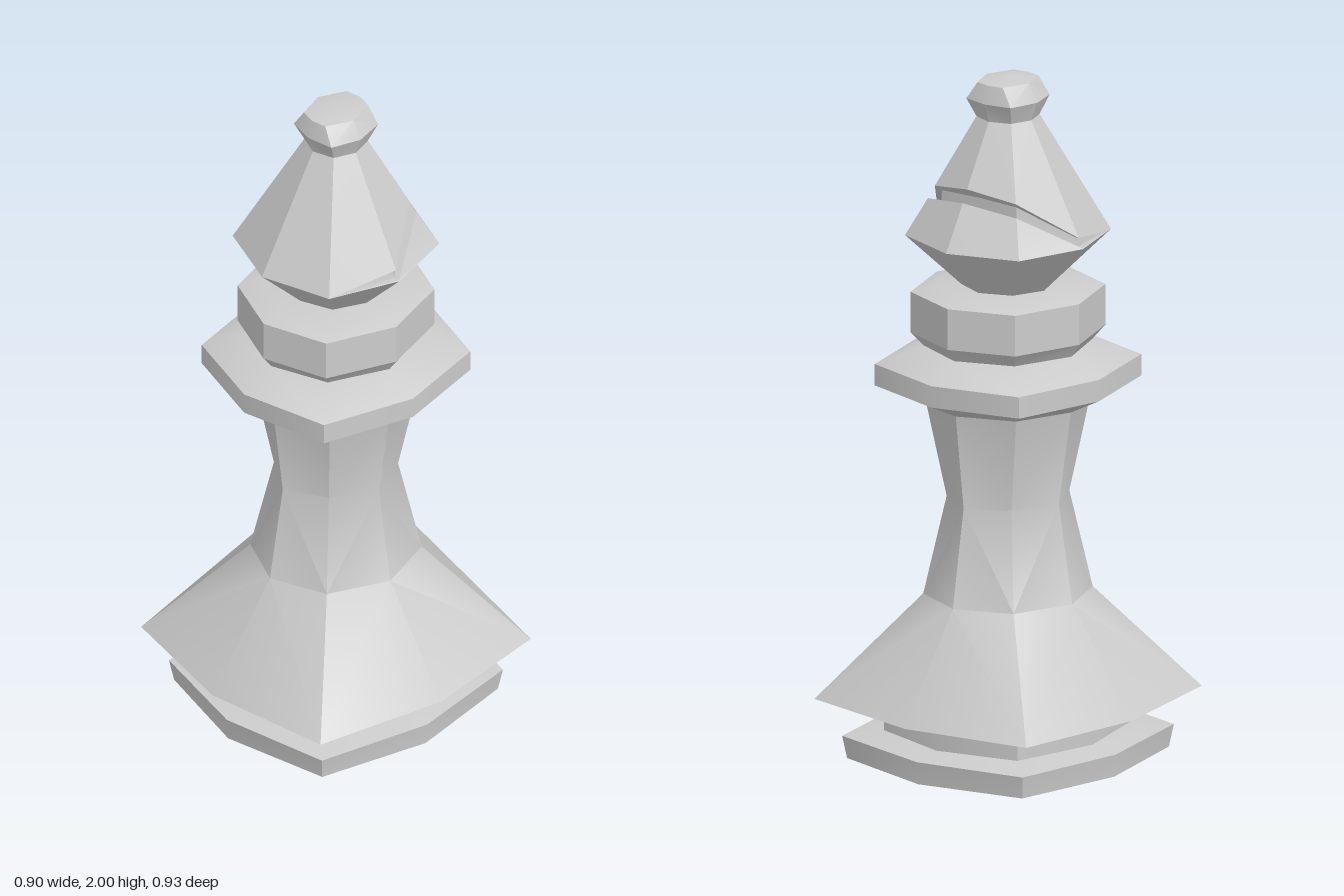
import * as THREE from 'three';
import { toCreasedNormals } from 'three/addons/utils/BufferGeometryUtils.js';

const material = new THREE.MeshStandardMaterial({ color: 0xcccccc });

// Eight-point section: side radius, front radius and the diagonal corner.
function ring(y, ax, az, cx, cz) {
  return [[ax, 0], [cx, cz], [0, az], [-cx, cz], [-ax, 0], [-cx, -cz], [0, -az], [cx, -cz]]
    .map(([x, z]) => new THREE.Vector3(x, y, z));
}

// Copy of a section with its side, back corner and back points moved.
function slotRing(from, side, corner, back) {
  const r = from.map((p) => p.clone());
  r[0].set(side[0], side[1], side[2]);
  r[4].set(-side[0], side[1], side[2]);
  r[7].set(corner[0], corner[1], corner[2]);
  r[5].set(-corner[0], corner[1], corner[2]);
  r[6].set(0, back[0], back[1]);
  return r;
}

// Skin sections from bottom to top and close both ends.
function loft(name, rings, topY) {
  const pos = [];
  const tri = (a, b, c) => {
    if (new THREE.Triangle(a, b, c).getArea() < 1e-7) return;
    for (const p of [a, b, c]) pos.push(p.x, p.y, p.z);
  };
  for (let i = 0; i < rings.length - 1; i++) {
    for (let k = 0; k < 8; k++) {
      const n = (k + 1) % 8;
      const a = rings[i][k], b = rings[i][n], c = rings[i + 1][n], d = rings[i + 1][k];
      // Alternating diagonals keep the halves mirrored.
      if (k % 2) { tri(a, d, c); tri(a, c, b); } else { tri(a, d, b); tri(d, c, b); }
    }
  }
  const first = rings[0], last = rings[rings.length - 1];
  const low = new THREE.Vector3(0, first[0].y, 0);
  const high = new THREE.Vector3(0, topY ?? last[0].y, 0);
  for (let k = 0; k < 8; k++) {
    const n = (k + 1) % 8;
    tri(low, first[k], first[n]);
    tri(high, last[n], last[k]);
  }
  const geometry = new THREE.BufferGeometry();
  geometry.setAttribute('position', new THREE.Float32BufferAttribute(pos, 3));
  const mesh = new THREE.Mesh(toCreasedNormals(geometry, 0.55), material);
  mesh.name = name;
  return mesh;
}

export function createModel() {
  const group = new THREE.Group();
  group.name = 'chessBishop';

  // Foot plate and recessed groove
  group.add(loft('base', [
    ring(0, 0.385, 0.405, 0.318, 0.33),
    ring(0.066, 0.39, 0.41, 0.328, 0.34),
    ring(0.08, 0.307, 0.323, 0.243, 0.258),
    ring(0.137, 0.307, 0.323, 0.243, 0.258),
  ]));

  // Flared skirt and waisted shaft
  group.add(loft('body', [
    ring(0.137, 0.307, 0.323, 0.243, 0.258),
    ring(0.177, 0.45, 0.465, 0.385, 0.395),
    ring(0.48, 0.233, 0.248, 0.164, 0.178),
    ring(0.765, 0.185, 0.2, 0.118, 0.13),
    ring(1.045, 0.228, 0.235, 0.164, 0.167),
  ]));

  // Wide collar
  group.add(loft('collar', [
    ring(1.045, 0.228, 0.235, 0.164, 0.167),
    ring(1.097, 0.33, 0.345, 0.262, 0.275),
    ring(1.16, 0.33, 0.345, 0.262, 0.275),
    ring(1.21, 0.23, 0.242, 0.165, 0.175),
  ]));

  // Narrow upper collar
  group.add(loft('upperCollar', [
    ring(1.21, 0.23, 0.242, 0.165, 0.175),
    ring(1.25, 0.258, 0.272, 0.19, 0.203),
    ring(1.37, 0.258, 0.272, 0.19, 0.203),
    ring(1.386, 0.205, 0.215, 0.15, 0.155),
  ]));

  // Head with a slanted slot cut into its back
  const wide = ring(1.535, 0.272, 0.278, 0.207, 0.207);
  group.add(loft('head', [
    ring(1.385, 0.13, 0.133, 0.092, 0.094),
    wide,
    slotRing(wide, [0.27, 1.537, 0], [0.161, 1.642, -0.161], [1.667, -0.204]),
    slotRing(wide, [0.25, 1.537, 0], [0.135, 1.621, -0.13], [1.627, -0.14]),
    slotRing(wide, [0.245, 1.565, 0], [0.135, 1.663, -0.13], [1.67, -0.14]),
    slotRing(wide, [0.257, 1.565, 0], [0.147, 1.678, -0.147], [1.703, -0.184]),
    ring(1.88, 0.085, 0.087, 0.063, 0.064),
  ]));

  // Finial
  group.add(loft('finial', [
    ring(1.88, 0.085, 0.087, 0.063, 0.064),
    ring(1.935, 0.105, 0.105, 0.08, 0.088),
    ring(1.987, 0.077, 0.09, 0.046, 0.08),
  ], 2));

  return group;
}
